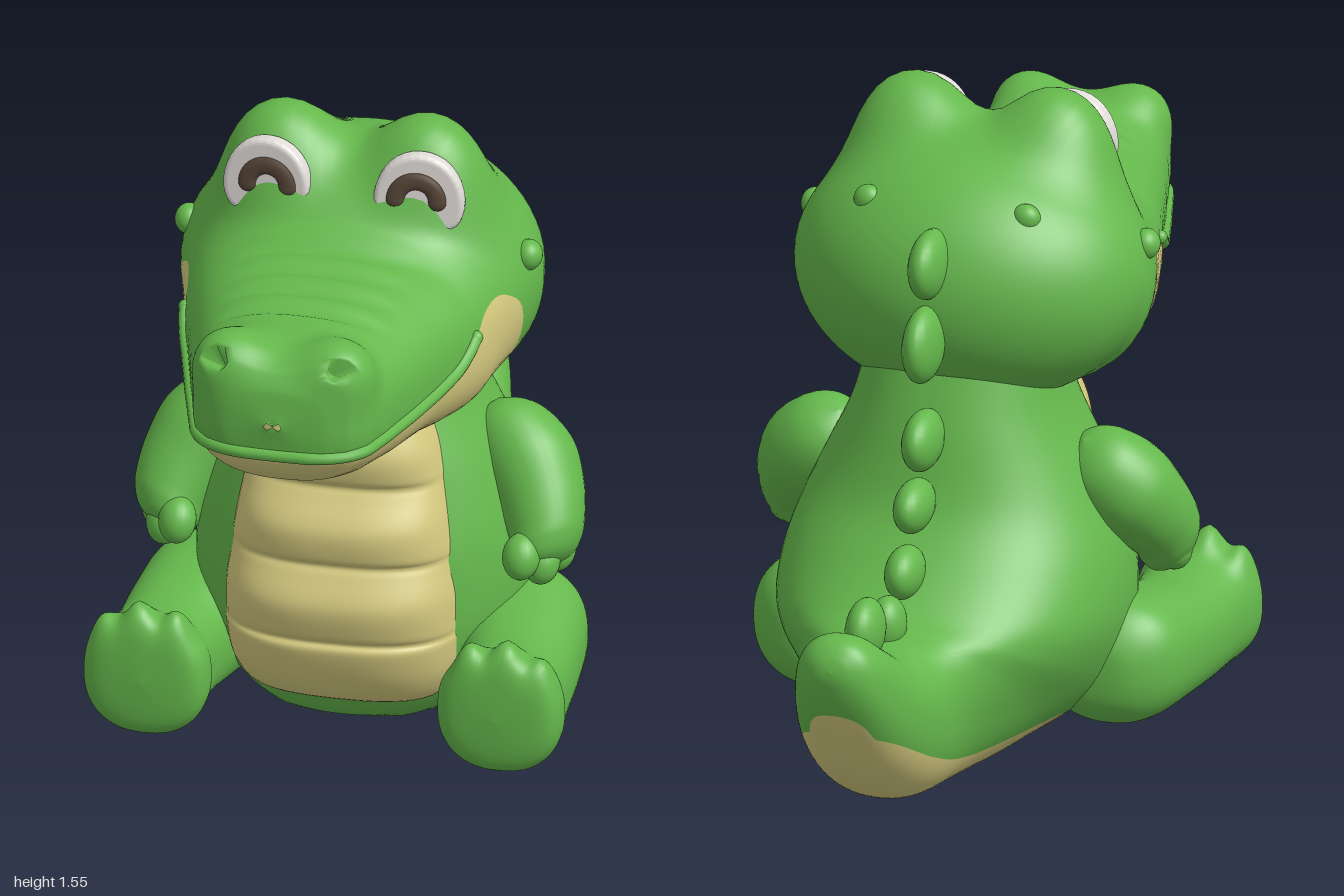
import * as THREE from 'three';

const paintOf = (name, color) => Object.assign(new THREE.MeshStandardMaterial({ color }), { name });
const green = paintOf('green skin', 0x65b84c);
const cream = paintOf('cream belly', 0xd6cb80);
const white = paintOf('eye white', 0xe0dcd8);
const brown = paintOf('eye brown', 0x574638);

const V = (x, y, z) => new THREE.Vector3(x, y, z);

// Catmull-Rom blend of every column of a table at fractional row t
function rowAt(rows, t) {
  const last = rows.length - 1;
  const i = Math.min(Math.max(Math.floor(t), 0), last - 1), f = t - i;
  const [a, b, c, d] = [i - 1, i, i + 1, i + 2].map(k => rows[Math.min(Math.max(k, 0), last)]);
  return b.map((_, k) => b[k] + 0.5 * f * (c[k] - a[k] + f * (2 * a[k] - 5 * b[k] + 4 * c[k] - d[k]
    + f * (3 * (b[k] - c[k]) + d[k] - a[k]))));
}

// Looks a table up by its ascending first column
function lookup(rows, key) {
  const k = Math.min(Math.max(key, rows[0][0]), rows[rows.length - 1][0]);
  let i = 0;
  while (i < rows.length - 2 && rows[i + 1][0] < k) i++;
  return rowAt(rows, i + (k - rows[i][0]) / (rows[i + 1][0] - rows[i][0]));
}

// Closed rings joined into a smooth skin, faces turned outward
function skin(rings, sides, point) {
  const pos = [], index = [];
  for (let i = 0; i <= rings; i++)
    for (let j = 0; j < sides; j++) pos.push(...point(i / rings, j / sides * Math.PI * 2).toArray());
  for (let i = 0; i < rings; i++)
    for (let j = 0; j < sides; j++) {
      const a = i * sides + j, b = i * sides + (j + 1) % sides;
      index.push(a, b, b + sides, a, b + sides, a + sides);
    }
  const p = k => V(pos[k * 3], pos[k * 3 + 1], pos[k * 3 + 2]);
  let volume = 0;
  for (let k = 0; k < index.length; k += 3) volume += p(index[k]).dot(p(index[k + 1]).cross(p(index[k + 2])));
  if (volume < 0) index.reverse();
  const g = new THREE.BufferGeometry();
  g.setAttribute('position', new THREE.Float32BufferAttribute(pos, 3));
  g.setIndex(index);
  g.computeVertexNormals();
  return g;
}

const loft = (rows, rings, sides, place, power = 2) => skin(rings, sides, (t, a) => {
  const round = v => Math.sign(v) * Math.abs(v) ** (2 / power);
  return place(rowAt(rows, t * (rows.length - 1)), round(Math.cos(a)), round(Math.sin(a)));
});

// Cuts a skin along rule = 0 into two material groups (first where rule < 0)
function splitColours(geometry, rule) {
  const src = geometry.toNonIndexed(), P = src.attributes.position, N = src.attributes.normal;
  const pos = [], nor = [], g = new THREE.BufferGeometry();
  [-1, 1].forEach((sign, m) => {
    const start = pos.length / 3;
    for (let k = 0; k < P.count; k += 3) {
      const tri = [0, 1, 2].map(c => {
        const p = V().fromBufferAttribute(P, k + c);
        return { p, n: V().fromBufferAttribute(N, k + c), d: sign * (rule(p) || 1e-9) };
      });
      const poly = [];
      tri.forEach((a, c) => {
        const b = tri[(c + 1) % 3];
        if (a.d > 0) poly.push(a);
        if (a.d > 0 !== b.d > 0) {
          const f = a.d / (a.d - b.d);
          poly.push({ p: a.p.clone().lerp(b.p, f), n: a.n.clone().lerp(b.n, f).normalize() });
        }
      });
      for (let c = 1; c < poly.length - 1; c++)
        for (const v of [poly[0], poly[c], poly[c + 1]]) { pos.push(...v.p.toArray()); nor.push(...v.n.toArray()); }
    }
    g.addGroup(start, pos.length / 3 - start, m);
  });
  g.setAttribute('position', new THREE.Float32BufferAttribute(pos, 3));
  g.setAttribute('normal', new THREE.Float32BufferAttribute(nor, 3));
  return g;
}

// Snout outline: z, half width, top, bottom
const SNOUT = [[0.1, 0.37, 1.2, 0.86], [0.3, 0.385, 1.295, 0.805], [0.42, 0.36, 1.295, 0.82], [0.55, 0.32, 1.28, 0.85],
  [0.7, 0.277, 1.265, 0.867], [0.83, 0.24, 1.265, 0.89], [0.91, 0.217, 1.255, 0.92], [0.96, 0.18, 1.225, 0.96],
  [0.985, 0.125, 1.185, 1.0], [1, 0.02, 1.11, 1.09]];
// Mouth line and cheek edge: z, y
const MOUTH = [[0.14, 0.7], [0.165, 0.92], [0.2, 1.09], [0.25, 1.145], [0.3, 1.16], [0.36, 1.14], [0.42, 1.09],
  [0.5, 1.045], [0.6, 1.025], [0.8, 1.012], [1, 1.012]];
// Underside edge of the tail: z, y
const UNDER = [[-1, 0.36], [-0.9, 0.26], [-0.65, 0.13], [-0.45, 0.07], [-0.08, 0.055], [0, 0]];
const mouthY = z => lookup(MOUTH, z)[1];

const ball = (x, y, z, cx, cy, cz, rx, ry, rz) =>
  (Math.hypot((x - cx) / rx, (y - cy) / ry, (z - cz) / rz) - 1) * Math.min(rx, ry, rz);
function blend(a, b, k) {
  const h = Math.max(k - Math.abs(a - b), 0) / k;
  return Math.min(a, b) - h * h * k / 4;
}

// Head field: skull, eye mounds, wrinkled snout, nostrils
function headField(px, y, z) {
  const x = Math.abs(px);
  let d = ball(x, y, z, 0, 1.12, 0.08, 0.44, 0.33, 0.36);
  const mounds = blend(ball(x, y, z, 0.175, 1.385, 0.16, 0.142, 0.17, 0.13),
    ball(x, y, z, -0.175, 1.385, 0.16, 0.142, 0.17, 0.13), 0.1);
  d = blend(d, mounds, 0.11);
  if (z > 0) {
    const [, w, top, bottom] = lookup(SNOUT, z);
    const ridge = z > 0.34 && z < 0.72 && x < 0.22 ? 0.006 * Math.cos((z - 0.38) * 70) * (1 - (x / 0.22) ** 4) : 0;
    const h = (top - bottom) / 2, c = (top + bottom) / 2, r = y > c ? h + ridge : h;
    const s = (((x / w) ** 2.5 + (Math.abs(y - c) / r) ** 2.5) ** 0.4 - 1) * Math.min(w, h);
    d = blend(d, Math.max(s, 0.1 - z, z - 1), 0.06);
    d = blend(d, ball(x, y, z, 0.135, 1.215, 0.89, 0.075, 0.07, 0.075), 0.07);
    d = Math.max(d, -ball(x, y, z, 0.15, 1.24, 0.96, 0.028, 0.022, 0.045));
  }
  return d;
}

// Outermost distance at which a ray leaves the head
function cast(o, dx, dy, dz) {
  const f = r => headField(o.x + dx * r, o.y + dy * r, o.z + dz * r);
  let r = 0.75;
  while (r > 0 && f(r) > 0) r -= 0.015;
  if (r <= 0) return 0;
  let hi = r + 0.015;
  for (let i = 0; i < 9; i++) { const m = (r + hi) / 2; if (f(m) > 0) hi = m; else r = m; }
  return r;
}

export function createModel() {
  const model = new THREE.Group();
  const add = (name, geometry, material, parent = model) => {
    const mesh = new THREE.Mesh(geometry, material);
    mesh.name = name;
    parent.add(mesh);
    return mesh;
  };
  const blob = (name, p, r) => {
    const m = add(name, new THREE.SphereGeometry(1, 24, 16), green);
    m.position.set(...p);
    m.scale.set(...r);
    return m;
  };

  // Body running into the tail: front z, y, back z, y, half width
  const body = loft([[0.22, 1, -0.2, 1, 0.22], [0.3, 0.8, -0.26, 0.82, 0.265], [0.345, 0.62, -0.32, 0.63, 0.35],
    [0.39, 0.4, -0.41, 0.51, 0.41], [0.385, 0.16, -0.5, 0.43, 0.42], [0.25, -0.03, -0.56, 0.405, 0.37],
    [-0.1, -0.06, -0.61, 0.4, 0.27], [-0.4, -0.04, -0.67, 0.405, 0.2], [-0.63, 0, -0.74, 0.43, 0.172],
    [-0.8, 0.11, -0.82, 0.48, 0.147], [-0.91, 0.24, -0.89, 0.522, 0.12], [-0.97, 0.34, -0.95, 0.525, 0.09],
    [-0.997, 0.42, -0.985, 0.495, 0.045], [-1, 0.46, -1, 0.46, 0]], 110, 72,
  ([fz, fy, bz, by, w], c, s) => V(c * w, Math.max((fy + by + s * (fy - by)) / 2, 0), (fz + bz + s * (fz - bz)) / 2), 2.25);
  add('bodyAndTail', splitColours(body, p => p.z > 0 ? -1
    : Math.min(lookup(UNDER, p.z)[1] - p.y, Math.max(p.y - 0.004, Math.hypot(p.x / 0.34, p.z / 0.5) - 1))), [green, cream]);

  // Padded belly: y, half width, front z
  add('belly', loft([[0.86, 0.18, 0.31], [0.8, 0.2, 0.36], [0.73, 0.225, 0.392], [0.67, 0.24, 0.387], [0.645, 0.245, 0.375],
    [0.62, 0.25, 0.39], [0.55, 0.263, 0.435], [0.48, 0.276, 0.434], [0.455, 0.278, 0.42], [0.43, 0.28, 0.435],
    [0.36, 0.29, 0.468], [0.285, 0.293, 0.457], [0.26, 0.293, 0.443], [0.235, 0.293, 0.453], [0.15, 0.28, 0.425],
    [0.08, 0.24, 0.37], [0.05, 0.17, 0.27], [0.05, 0, 0.2]], 90, 56,
  ([y, w, z], c, s) => V(c * w, y, 0.22 + s * (z - 0.22)), 2.6), cream);

  // Head, sliced along z
  const head = skin(190, 90, (t, a) => {
    const z = 0.36 - 0.64 * Math.cos(t * Math.PI), o = V(0, 1.1, z);
    const r = cast(o, Math.cos(a), Math.sin(a), 0);
    return V(Math.cos(a) * r, o.y + Math.sin(a) * r, z);
  });
  add('head', splitColours(head, p => mouthY(p.z) - p.y), [green, cream]);

  // Smiling lip
  const lip = [];
  for (let i = -20; i <= 20; i++) {
    const a = i / 20 * 1.4, o = V(0, 1.03, 0.35);
    let r = 0;
    for (let k = 0; k < 4; k++) {
      r = cast(o, Math.sin(a), 0, Math.cos(a));
      o.y = mouthY(0.35 + r * Math.cos(a)) + 0.008;
    }
    lip.push(V(Math.sin(a) * r, o.y, 0.35 + Math.cos(a) * r));
  }
  add('lip', new THREE.TubeGeometry(new THREE.CatmullRomCurve3(lip), 100, 0.016, 10), green);
  for (const end of [lip[0], lip[40]]) blob('lipEnd', end.toArray(), [0.017, 0.017, 0.017]);

  // Spikes down the back: y, z, height and depth radii
  for (const [y, z, ry, rz] of [[1.235, -0.25, 0.085, 0.1], [1.045, -0.295, 0.095, 0.1], [0.8, -0.3, 0.075, 0.095],
    [0.655, -0.365, 0.065, 0.09], [0.51, -0.435, 0.065, 0.08], [0.425, -0.565, 0.07, 0.06], [0.47, -0.73, 0.08, 0.08]])
    blob('backSpike', [0, y, z], [0.046, ry, rz]);

  for (const s of [1, -1]) {
    const side = s > 0 ? 'left' : 'right';

    // Eye: domed white plate and a smiling arch
    const eye = new THREE.Group();
    eye.name = side + 'Eye';
    eye.position.set(s * 0.186, 1.41, 0.27);
    eye.rotation.set(-0.06, s * 0.1, 0);
    model.add(eye);
    const outline = new THREE.Shape();
    outline.moveTo(-0.065, -0.078);
    outline.quadraticCurveTo(0, -0.075, 0.065, -0.078);
    outline.bezierCurveTo(0.12, -0.07, 0.105, 0.087, 0, 0.087);
    outline.bezierCurveTo(-0.105, 0.087, -0.12, -0.07, -0.065, -0.078);
    add('eyeWhite', new THREE.ExtrudeGeometry(outline, { depth: 0.018, bevelSize: 0.014, bevelThickness: 0.014,
      bevelSegments: 4, curveSegments: 16 }), white, eye);
    const arch = new THREE.Group();
    arch.name = 'eyeArch';
    arch.position.set(-s * 0.005, -0.016, 0.032);
    arch.scale.z = 0.4;
    eye.add(arch);
    add('archBand', new THREE.TorusGeometry(0.051, 0.022, 10, 24, Math.PI), brown, arch);
    for (const e of [1, -1]) add('archEnd', new THREE.SphereGeometry(0.022, 14, 10), brown, arch).position.x = e * 0.051;

    // Small bumps on cheek and crown
    blob(side + 'CheekBump', [s * 0.42, 1.2, 0.13], [0.034, 0.038, 0.038]);
    blob(side + 'CrownBump', [s * 0.2, 1.33, -0.12], [0.036, 0.036, 0.03]);

    // Arm: x, y, z, radius, ringed square to its slope
    const dir = V(s * 0.4, -0.75, 0.53).normalize();
    const u = V(s, 0, 0).addScaledVector(dir, -dir.x * s).normalize(), v = dir.clone().cross(u);
    add(side + 'Arm', loft([[0.31, 0.735, -0.02, 0], [0.32, 0.715, -0.015, 0.06], [0.345, 0.68, 0, 0.098],
      [0.395, 0.615, 0.035, 0.118], [0.44, 0.54, 0.085, 0.108], [0.465, 0.48, 0.13, 0.095], [0.47, 0.44, 0.155, 0.088],
      [0.47, 0.405, 0.175, 0.065], [0.47, 0.385, 0.185, 0]], 48, 32,
    ([x, y, z, r], c, n) => V(s * x, y, z).addScaledVector(u, c * r).addScaledVector(v, n * r)), green);
    for (const [x, y, z] of [[0.425, 0.44, 0.225], [0.465, 0.415, 0.185], [0.49, 0.425, 0.125]])
      blob(side + 'Finger', [s * x, y, z], [0.046, 0.058, 0.046]).rotation.x = -0.5;

    // Leg and foot, scalloped into toes: centre x, y, z, half width, half height
    add(side + 'Leg', loft([[0.36, 0.15, -0.09, 0, 0], [0.36, 0.155, -0.08, 0.08, 0.08], [0.365, 0.16, -0.03, 0.145, 0.14],
      [0.375, 0.162, 0.04, 0.17, 0.16], [0.4, 0.15, 0.17, 0.16, 0.15], [0.425, 0.138, 0.3, 0.142, 0.14],
      [0.435, 0.142, 0.4, 0.142, 0.142], [0.437, 0.15, 0.46, 0.153, 0.15], [0.437, 0.152, 0.51, 0.148, 0.148],
      [0.437, 0.152, 0.54, 0.11, 0.11], [0.437, 0.152, 0.55, 0, 0]], 72, 72,
    ([x, y, z, rx, ry], c, n) => {
      const px = x + c * rx, toes = 0.022 + 0.018 * Math.cos((px - 0.455) * 64);
      const lift = Math.max(n, 0) * toes * Math.exp(-(((z - 0.495) / 0.06) ** 2)) * ry / 0.15;
      return V(s * px, Math.max(y + n * ry + lift, 0), z);
    }, 2.3), green);
  }
  return model;
}
